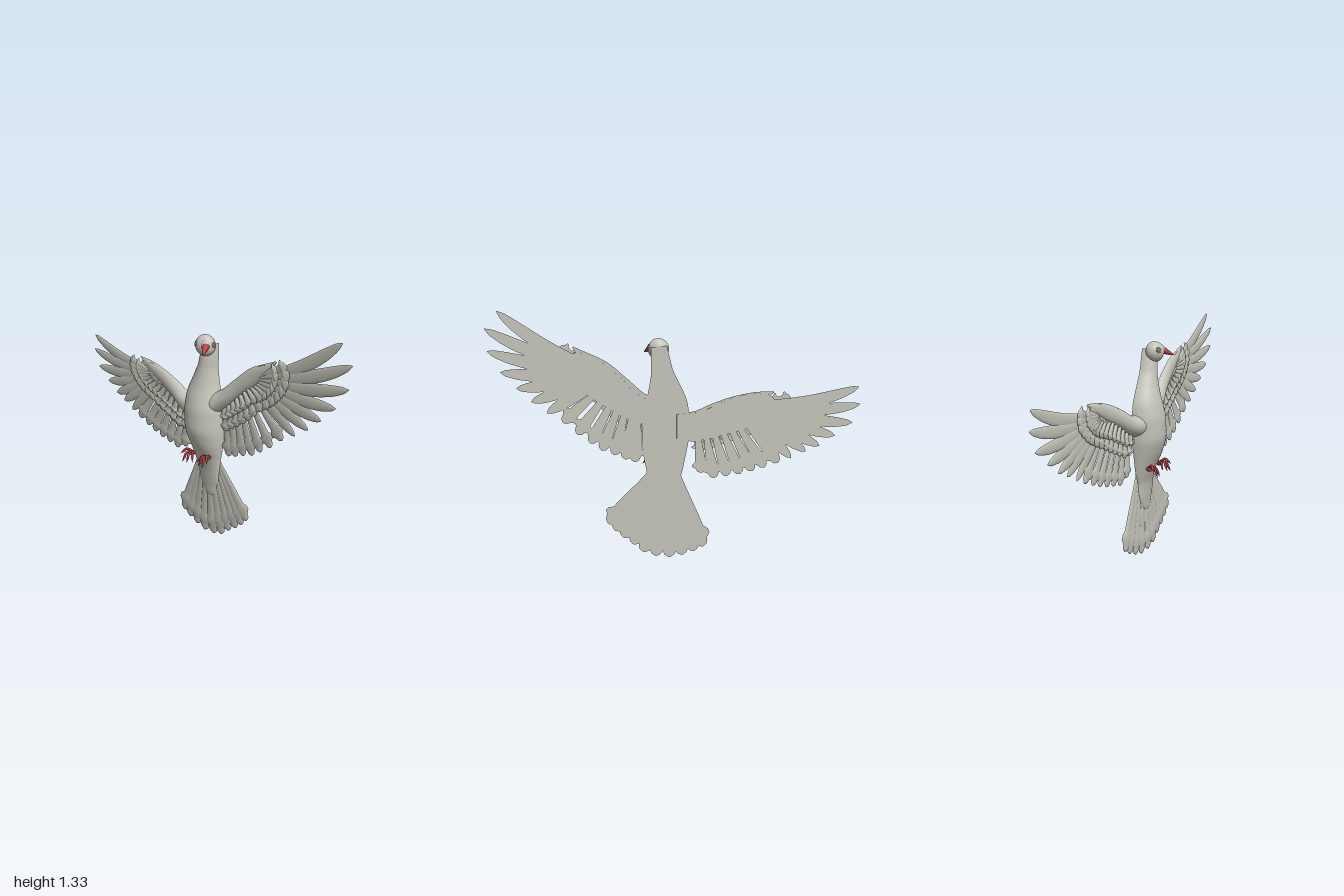
import * as THREE from 'three';

const plumage = new THREE.MeshStandardMaterial({ color: 0xc4c4ba });
plumage.name = 'plumage';
const red = new THREE.MeshStandardMaterial({ color: 0xb03c42 });
red.name = 'beak and feet red';
const eyeGrey = new THREE.MeshStandardMaterial({ color: 0x8c8c85 });
eyeGrey.name = 'eye grey';

const BACK = -0.068;
const V = (x, y, z = 0) => new THREE.Vector3(x, y, z);

function add(parent, name, geometry, material = plumage) {
  const mesh = new THREE.Mesh(geometry, material);
  mesh.name = name;
  parent.add(mesh);
  return mesh;
}

// Half-round loft with a flat back; stations are [x, y, halfWidth, height]
function relief(stations, back, steps, sides) {
  const path = new THREE.CatmullRomCurve3(stations.map(s => V(s[0], s[1])));
  const size = new THREE.CatmullRomCurve3(stations.map(s => V(s[2], s[3])));
  const pos = [], index = [];
  const row = sides + 3; // front arc plus two separate back corners
  for (let i = 0; i <= steps; i++) {
    const p = path.getPoint(i / steps), t = path.getTangent(i / steps), s = size.getPoint(i / steps);
    const w = Math.max(s.x, 0.001), h = Math.max(s.y, 0.001);
    const point = (c, z) => pos.push(p.x - t.y * w * c, p.y + t.x * w * c, back + z);
    for (let k = 0; k <= sides; k++) {
      const a = Math.PI * k / sides;
      point(Math.cos(a), h * Math.sin(a));
    }
    point(1, 0);
    point(-1, 0);
    if (i === steps) continue;
    for (let k = 0; k < sides; k++) {
      const a = i * row + k, c = a + row;
      index.push(a, a + 1, c, a + 1, c + 1, c);
    }
    const l = i * row + sides + 1;
    index.push(l, l + row, l + 1, l + 1, l + row, l + row + 1);
  }
  const g = new THREE.BufferGeometry();
  g.setAttribute('position', new THREE.Float32BufferAttribute(pos, 3));
  g.setIndex(index);
  g.computeVertexNormals();
  return g;
}

// Width profiles along a feather: [position, share of full width]
const POINTED = [[0, 0.4], [0.2, 0.75], [0.4, 0.95], [0.6, 1], [0.8, 0.85], [0.94, 0.5], [1, 0.05]];
const ROUNDED = [[0, 0.3], [0.25, 0.5], [0.5, 0.75], [0.75, 0.95], [0.9, 0.95], [0.97, 0.65], [1, 0.1]];

function feather(parent, name, base, tip, width, height, profile, back, sag = 0) {
  const mid = base.clone().lerp(tip, 0.5).add(V(0, -sag));
  const curve = new THREE.QuadraticBezierCurve3(base, mid, tip);
  const stations = profile.map(([t, k]) => {
    const p = curve.getPoint(t);
    return [p.x, p.y, width * k, height * Math.sqrt(k)];
  });
  return add(parent, name, relief(stations, back, 18, 6), plumage);
}

function buildWing(name, { tips, bases, limb, mass, hole }) {
  const wing = new THREE.Group();
  wing.name = name;
  const root = new THREE.CatmullRomCurve3(bases.map(b => V(...b)));
  const n = tips.length;

  // Flight feathers, then two shorter rows of coverts over them
  tips.forEach((t, i) => {
    const u = i / (n - 1), tip = V(...t), base = root.getPoint(u);
    const primary = i < 7;
    const sag = 0.07 * Math.max(0, 1 - i / 6);
    feather(wing, primary ? 'primaryFeather' : 'secondaryFeather', base, tip,
      primary ? 0.033 : 0.031, 0.007, primary ? POINTED : ROUNDED, -0.071 + 0.0004 * i, sag);
    const reach = 0.3 + 0.22 * u;
    feather(wing, 'greaterCovert', base, base.clone().lerp(tip, reach),
      0.026, 0.008, ROUNDED, -0.06 + 0.0004 * i, sag * 0.2);
    feather(wing, 'lesserCovert', base.clone().lerp(tip, -0.03), base.clone().lerp(tip, reach * 0.6),
      0.023, 0.009, ROUNDED, -0.055 + 0.0004 * i);
  });

  // Flat web joining the feather roots
  const shape = new THREE.Shape(mass.map(p => new THREE.Vector2(...p)));
  if (hole) shape.holes.push(new THREE.Path().absellipse(hole[0], hole[1], 0.011, 0.015, 0, Math.PI * 2, true));
  const web = add(wing, 'wingWeb', new THREE.ExtrudeGeometry(shape, { depth: 0.013, bevelEnabled: false, curveSegments: 10 }));
  web.position.z = -0.07;

  // Rounded leading limb
  add(wing, 'wingLimb', relief(limb, BACK, 28, 12));
  return wing;
}

function buildFoot(name, x, y, side) {
  const foot = new THREE.Group();
  foot.name = name;
  foot.position.set(x, y, 0);
  add(foot, 'ankle', new THREE.SphereGeometry(0.014, 12, 8), red).scale.set(1, 1, 1.5);
  // Each toe: sideways spread, rise, forward reach and drop of its claw
  const toes = [[-0.034, 0.008, 0.032, -0.024], [-0.012, 0.012, 0.046, -0.032],
    [0.014, 0.01, 0.05, -0.038], [0.034, 0.024, 0.038, 0.012]];
  for (const [dx, up, reach, drop] of toes) {
    const s = dx * side;
    const knuckle = V(s * 0.6, up, reach * 0.65), end = V(s, drop * 0.6, reach);
    const path = new THREE.CatmullRomCurve3([V(0, 0, -0.01), knuckle, end]);
    add(foot, 'toe', new THREE.TubeGeometry(path, 10, 0.0065, 8), red);
    const claw = add(foot, 'claw', new THREE.ConeGeometry(0.0065, 0.026, 8), red);
    const dir = path.getTangent(1);
    claw.quaternion.setFromUnitVectors(V(0, 1), dir);
    claw.position.copy(end).addScaledVector(dir, 0.01);
  }
  return foot;
}

function buildHead() {
  const head = new THREE.Group();
  head.name = 'head';
  head.position.set(0.093, 1.136, -0.013);
  add(head, 'skull', new THREE.SphereGeometry(1, 32, 20)).scale.set(0.057, 0.057, 0.05);

  // Brow tapering into a hooked beak, turned toward the left front
  const base = V(0.03, 0.012, 0.022), tip = V(0.073, -0.02, 0.084);
  const dir = tip.clone().sub(base).normalize();
  const face = add(head, 'face', new THREE.SphereGeometry(1, 20, 14));
  face.scale.set(0.026, 0.032, 0.026);
  face.position.set(0.027, 0.008, 0.022);
  const profile = [[0.021, 0], [0.02, 0.016], [0.015, 0.035], [0.01, 0.055], [0.005, 0.07], [0.0005, 0.08]];
  const beak = add(head, 'beak', new THREE.LatheGeometry(profile.map(p => new THREE.Vector2(...p)), 16), red);
  beak.quaternion.setFromUnitVectors(V(0, 1), dir);
  beak.position.copy(base);

  // Eyes on both cheeks with raised rims
  for (const d of [V(-0.55, 0.2, 0.8), V(0.95, 0.2, -0.2)]) {
    d.normalize();
    const eye = new THREE.Group();
    eye.name = 'eye';
    eye.position.set(d.x * 0.056, d.y * 0.056, d.z * 0.049);
    eye.quaternion.setFromUnitVectors(V(0, 0, 1), d);
    add(eye, 'eyeRim', new THREE.TorusGeometry(0.013, 0.0028, 8, 20));
    add(eye, 'eyeball', new THREE.SphereGeometry(0.0095, 14, 10), eyeGrey).scale.z = 0.5;
    head.add(eye);
  }
  return head;
}

export function createModel() {
  const dove = new THREE.Group();
  dove.name = 'dove';

  add(dove, 'body', relief([[0.093, 1.15, 0.042, 0.06], [0.086, 1.08, 0.051, 0.072], [0.078, 1.02, 0.058, 0.076],
    [0.066, 0.94, 0.083, 0.09], [0.056, 0.85, 0.113, 0.115], [0.057, 0.77, 0.125, 0.13], [0.06, 0.68, 0.126, 0.131],
    [0.065, 0.585, 0.116, 0.104], [0.067, 0.5, 0.1, 0.064], [0.076, 0.42, 0.083, 0.036], [0.08, 0.33, 0.074, 0.024],
    [0.094, 0.265, 0.04, 0.017], [0.1, 0.238, 0.004, 0.004]], BACK, 60, 28));
  dove.add(buildHead());

  dove.add(buildWing('leftWing', {
    tips: [[0.93, 1.335], [0.995, 1.245], [0.985, 1.13], [0.92, 1.02], [0.84, 0.935], [0.765, 0.865], [0.685, 0.805],
      [0.605, 0.755], [0.53, 0.69], [0.46, 0.64], [0.4, 0.6], [0.335, 0.575], [0.275, 0.55], [0.225, 0.535]],
    bases: [[0.48, 1.07], [0.44, 1.0], [0.32, 0.93], [0.2, 0.84]],
    limb: [[0.1, 0.8, 0.07, 0.09], [0.2, 0.865, 0.048, 0.058], [0.29, 0.945, 0.046, 0.036],
      [0.39, 1.03, 0.046, 0.024], [0.48, 1.095, 0.028, 0.016], [0.545, 1.15, 0.003, 0.004]],
    mass: [[0.14, 0.86], [0.24, 0.92], [0.29, 0.985], [0.38, 1.06], [0.46, 1.115], [0.54, 1.12], [0.575, 1.07],
      [0.56, 0.985], [0.45, 0.88], [0.31, 0.79], [0.2, 0.74], [0.12, 0.75]],
    hole: [0.34, 0.945],
  }));
  dove.add(buildWing('rightWing', {
    tips: [[-0.99, 0.93], [-1, 0.835], [-0.96, 0.735], [-0.865, 0.665], [-0.78, 0.61], [-0.705, 0.58], [-0.625, 0.545],
      [-0.555, 0.52], [-0.48, 0.495], [-0.415, 0.475], [-0.345, 0.46], [-0.275, 0.45], [-0.205, 0.44], [-0.135, 0.47]],
    bases: [[-0.46, 0.85], [-0.42, 0.81], [-0.27, 0.78], [-0.11, 0.72]],
    limb: [[0, 0.74, 0.07, 0.09], [-0.1, 0.75, 0.055, 0.06], [-0.21, 0.8, 0.05, 0.04],
      [-0.32, 0.84, 0.046, 0.026], [-0.43, 0.875, 0.032, 0.018], [-0.525, 0.905, 0.003, 0.004]],
    mass: [[0, 0.79], [-0.13, 0.8], [-0.235, 0.85], [-0.31, 0.88], [-0.42, 0.9], [-0.5, 0.89], [-0.56, 0.84],
      [-0.52, 0.775], [-0.39, 0.71], [-0.2, 0.66], [-0.09, 0.64], [0, 0.66]],
  }));

  // Fanned tail
  const tail = new THREE.Group();
  tail.name = 'tail';
  const tailTips = [[-0.145, 0.06], [-0.095, 0.035], [-0.03, 0.015], [0.04, 0.003], [0.115, 0.012],
    [0.18, 0.035], [0.235, 0.08], [0.29, 0.12], [0.335, 0.16], [0.37, 0.2]];
  tailTips.forEach(([x, y], i) => {
    const u = i / (tailTips.length - 1);
    feather(tail, 'tailFeather', V(0.0 + 0.14 * u, 0.48), V(x, y), 0.04, 0.011, ROUNDED,
      -0.071 + 0.0012 * (4.5 - Math.abs(i - 4.5)));
  });
  dove.add(tail);

  dove.add(buildFoot('rightFoot', 0.008, 0.5, -1));
  dove.add(buildFoot('leftFoot', 0.132, 0.512, 1));
  return dove;
}
